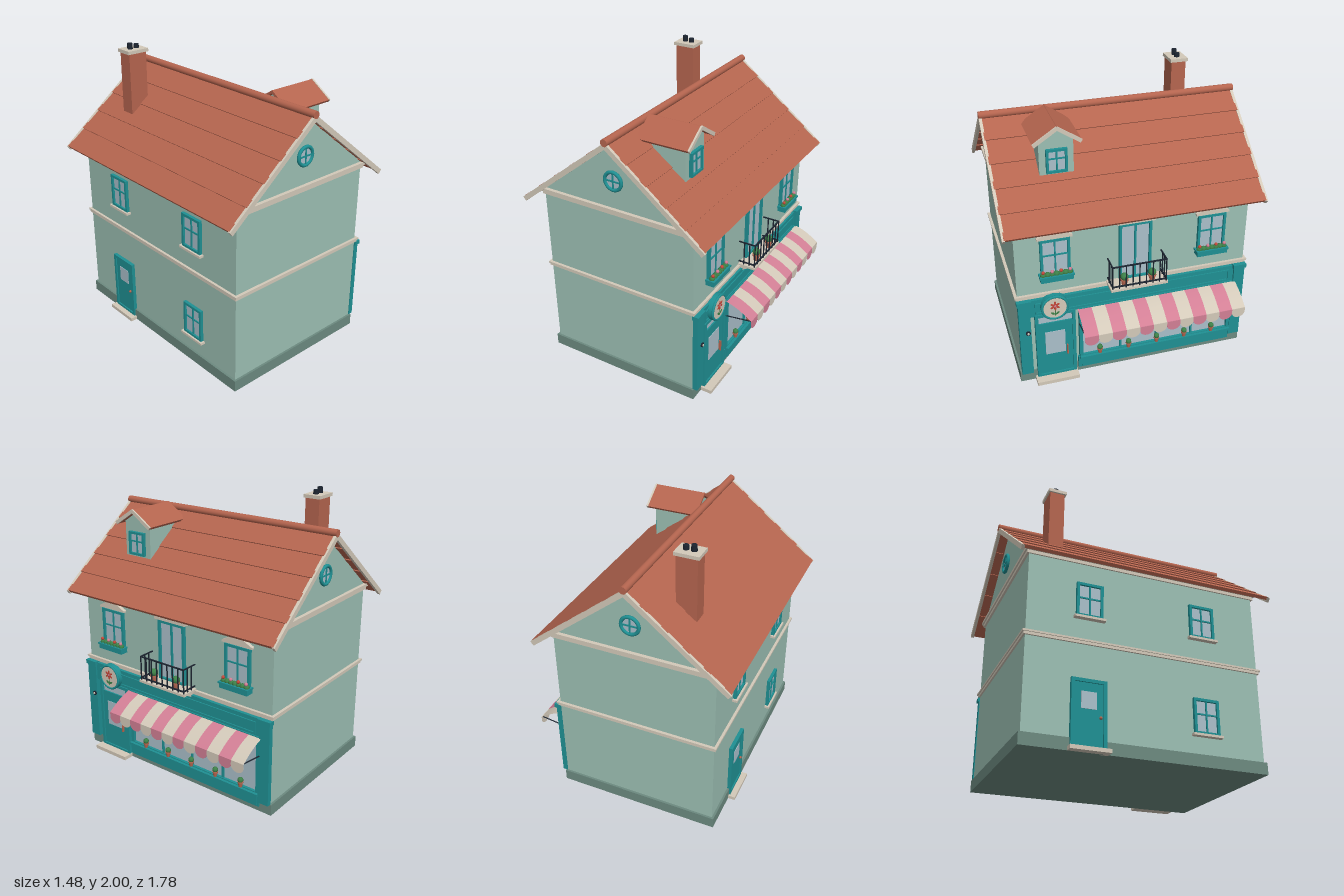
import * as THREE from 'three';

const mat = (name, color, side = THREE.FrontSide) => {
  const m = new THREE.MeshStandardMaterial({ color, side });
  m.name = name;
  return m;
};

export function createModel() {
  const M = {
    wall: mat('wall green', 0x9cbfb3), plinth: mat('plinth green', 0x6c8a80),
    teal: mat('teal paint', 0x1f9093), roof: mat('terracotta', 0xb5654f),
    cream: mat('cream stone', 0xd3c9b9, THREE.DoubleSide), glass: mat('pale glass', 0xaabfca),
    pink: mat('pink cloth', 0xd27f95, THREE.DoubleSide), green: mat('leaf green', 0x3d8048),
    dark: mat('dark iron', 0x1c2430), red: mat('flower red', 0xc4483a),
  };
  const house = new THREE.Group();
  house.name = 'shopHouse';

  const add = (parent, name, geo, m, x = 0, y = 0, z = 0) => {
    const mesh = new THREE.Mesh(geo, m);
    mesh.name = name;
    mesh.position.set(x, y, z);
    parent.add(mesh);
    return mesh;
  };
  const group = (parent, name, x = 0, y = 0, z = 0, ry = 0) => {
    const g = new THREE.Group();
    g.name = name;
    g.position.set(x, y, z);
    g.rotation.y = ry;
    parent.add(g);
    return g;
  };
  // Box given by its limits
  const box = (p, name, m, x0, x1, y0, y1, z0, z1) =>
    add(p, name, new THREE.BoxGeometry(x1 - x0, y1 - y0, z1 - z0), m, (x0 + x1) / 2, (y0 + y1) / 2, (z0 + z1) / 2);
  const poly = (pts) => new THREE.Shape(pts.map(([x, y]) => new THREE.Vector2(x, y)));
  const extrude = (shape, depth) => new THREE.ExtrudeGeometry(shape, { depth, bevelEnabled: false, curveSegments: 12 });
  const disc = (r, d) => new THREE.CylinderGeometry(r, r, d, 32).rotateX(Math.PI / 2);
  // Rectangular frame: four bars around an opening
  const frame = (p, name, m, x0, x1, y0, y1, t, z0, z1) => {
    box(p, name, m, x0, x0 + t, y0, y1, z0, z1);
    box(p, name, m, x1 - t, x1, y0, y1, z0, z1);
    box(p, name, m, x0 + t, x1 - t, y0, y0 + t, z0, z1);
    box(p, name, m, x0 + t, x1 - t, y1 - t, y1, z0, z1);
  };
  // Window with glazing bars, facing local +z
  const windowUnit = (p, name, x, y0, y1, w, t = 0.018) => {
    const g = group(p, name, x);
    const h = w / 2, yc = (y0 + y1) / 2 + 0.015;
    box(g, 'glass', M.glass, -h + t / 2, h - t / 2, y0 + t / 2, y1 - t / 2, -0.01, 0.008);
    frame(g, 'frame', M.teal, -h, h, y0, y1, t, 0, 0.022);
    box(g, 'glazingBar', M.teal, -0.005, 0.005, y0 + t, y1 - t, 0, 0.016);
    box(g, 'glazingBar', M.teal, -h + t, h - t, yc - 0.005, yc + 0.005, 0, 0.015);
    return g;
  };
  const pottedPlant = (p, x, y, z, s) => {
    const g = group(p, 'pottedPlant', x, y, z);
    g.scale.setScalar(s);
    add(g, 'pot', new THREE.CylinderGeometry(0.018, 0.013, 0.035, 16), M.roof, 0, 0.0175, 0);
    add(g, 'potRim', new THREE.CylinderGeometry(0.021, 0.021, 0.009, 16), M.roof, 0, 0.035, 0);
    add(g, 'bush', new THREE.SphereGeometry(0.021, 14, 10), M.green, 0, 0.053, 0);
  };

  // Main walls with gables
  const CX = -0.055, RY = 1.775, K = 0.8, HW = 0.565;
  const wallTop = RY - K * HW - 0.015;
  const body = poly([[CX - HW, 0.05], [CX + HW, 0.05], [CX + HW, wallTop], [CX, RY - 0.015], [CX - HW, wallTop]]);
  add(house, 'walls', extrude(body, 1.62), M.wall, 0, 0, -0.81);
  box(house, 'plinth', M.plinth, -0.635, 0.52, 0, 0.08, -0.825, 0.825);
  box(house, 'bandCourse', M.cream, -0.632, 0.522, 0.695, 0.715, -0.822, 0.822);
  box(house, 'bandCourseTop', M.cream, -0.638, 0.53, 0.713, 0.726, -0.83, 0.83);
  box(house, 'cornice', M.cream, -0.63, 0.52, 1.265, 1.287, -0.825, 0.825);
  box(house, 'corniceTop', M.cream, -0.642, 0.532, 1.287, 1.308, -0.835, 0.835);

  // Roof: overlapping courses, bargeboards, ridge
  const roof = group(house, 'roof');
  const ang = Math.atan(K), len = 0.675 / Math.cos(ang), step = len / 5;
  for (const s of [-1, 1]) {
    for (let i = 0; i < 5; i++) {
      const t = (i + 0.5) * step;
      const c = add(roof, 'roofCourse', new THREE.BoxGeometry(step * 1.04, 0.022, 1.76), M.roof,
        CX + s * t * Math.cos(ang), RY - t * Math.sin(ang), 0);
      c.rotation.z = -s * (ang - 0.04);
    }
    for (const e of [-1, 1]) {
      const b = add(roof, 'bargeboard', new THREE.BoxGeometry(len + 0.01, 0.034, 0.02), M.cream,
        CX + s * len / 2 * Math.cos(ang), RY - 0.006 - len / 2 * Math.sin(ang), e * 0.882);
      b.rotation.z = -s * ang;
    }
  }
  add(roof, 'ridge', new THREE.CylinderGeometry(0.025, 0.025, 1.785, 16).rotateX(Math.PI / 2), M.roof, CX, 1.79, 0);

  // Chimney
  const chimney = group(house, 'chimney', -0.34, 0, -0.57);
  box(chimney, 'stack', M.roof, -0.07, 0.07, 1.42, 1.94, -0.053, 0.053);
  box(chimney, 'cap', M.cream, -0.083, 0.083, 1.937, 1.96, -0.064, 0.064);
  for (const [x, top] of [[-0.025, 2], [0.027, 1.988]])
    add(chimney, 'chimneyPot', new THREE.CylinderGeometry(0.018, 0.02, top - 1.95, 16), M.dark, x, (top + 1.95) / 2, 0);

  // Dormer, facing +x
  const dormer = group(house, 'dormer', 0.32, 0, 0.468, Math.PI / 2);
  add(dormer, 'dormerWalls', extrude(poly([[-0.113, 1.485], [0.113, 1.485], [0.113, 1.735], [0, 1.81], [-0.113, 1.735]]), 0.3),
    M.wall, 0, 0, -0.3);
  windowUnit(dormer, 'dormerWindow', 0, 1.505, 1.67, 0.14, 0.016);
  const da = Math.atan(0.1 / 0.152), dl = 0.152 / Math.cos(da);
  for (const s of [-1, 1]) {
    for (const [name, m, th, z0, z1] of [['dormerRoof', M.roof, 0.018, -0.33, 0.044], ['dormerTrim', M.cream, 0.024, 0.04, 0.053]]) {
      const r = add(dormer, name, new THREE.BoxGeometry(dl + 0.008, th, z1 - z0), m, s * 0.076, 1.773, (z0 + z1) / 2);
      r.rotation.z = -s * da;
    }
  }

  // Round gable windows
  for (const e of [-1, 1]) {
    const g = group(house, 'roundWindow', CX, 1.505, e * 0.81, e > 0 ? 0 : Math.PI);
    add(g, 'glass', disc(0.06, 0.012), M.glass, 0, 0, 0.004);
    add(g, 'ring', new THREE.TorusGeometry(0.061, 0.012, 10, 36), M.teal, 0, 0, 0.01);
    box(g, 'glazingBar', M.teal, -0.005, 0.005, -0.058, 0.058, 0, 0.016);
    box(g, 'glazingBar', M.teal, -0.058, 0.058, -0.005, 0.005, 0, 0.016);
  }

  // Shop side, facing +x; local x runs towards -z
  const shop = group(house, 'shopFacade', 0.51, 0, 0, Math.PI / 2);

  // Upper windows with pediments and flower boxes
  for (const s of [-1, 1]) {
    const g = windowUnit(shop, 'upperWindow', s * 0.545, 0.86, 1.135, 0.2);
    add(g, 'pediment', extrude(poly([[-0.118, 1.14], [0.118, 1.14], [0.118, 1.152], [0, 1.212], [-0.118, 1.152]]), 0.025), M.cream);
    box(g, 'flowerBox', M.teal, -0.11, 0.11, 0.835, 0.868, 0, 0.06);
    box(g, 'flowerBoxRim', M.teal, -0.116, 0.116, 0.866, 0.878, 0, 0.066);
    for (let i = 0; i < 7; i++) {
      const x = -0.09 + i * 0.03;
      add(g, 'leaves', new THREE.SphereGeometry(0.02, 10, 8), M.green, x, 0.882, 0.036);
      if (i % 2 === 0)
        add(g, 'bloom', new THREE.SphereGeometry(0.012, 10, 8), i % 4 ? M.pink : M.red, x, 0.906, 0.042);
    }
  }

  // Balcony door and balcony
  box(shop, 'balconyDoorGlass', M.glass, -0.1, 0.1, 0.74, 1.15, 0, 0.008);
  frame(shop, 'balconyDoorFrame', M.teal, -0.113, 0.113, 0.73, 1.165, 0.018, 0, 0.024);
  box(shop, 'balconyDoorMiddle', M.teal, -0.007, 0.007, 0.74, 1.15, 0, 0.018);
  box(shop, 'balconyDoorLintel', M.cream, -0.132, 0.132, 1.17, 1.19, 0, 0.035);
  box(shop, 'balconySlab', M.cream, -0.2, 0.2, 0.718, 0.735, 0, 0.13);
  const balcony = group(shop, 'balconyRailing');
  const bar = (x, z) => box(balcony, 'baluster', M.dark, x - 0.0035, x + 0.0035, 0.735, 0.908, z - 0.0035, z + 0.0035);
  for (let i = 0; i <= 8; i++) bar(-0.188 + i * 0.047, 0.12);
  for (const y of [0.752, 0.908]) box(balcony, 'rail', M.dark, -0.192, 0.192, y - 0.004, y + 0.004, 0.115, 0.125);
  for (const s of [-1, 1]) {
    for (const z of [0.04, 0.08]) bar(s * 0.188, z);
    for (const y of [0.752, 0.908]) box(balcony, 'sideRail', M.dark, s * 0.188 - 0.004, s * 0.188 + 0.004, y - 0.004, y + 0.004, 0, 0.12);
    const brace = extrude(poly([[0, 0.66], [0.1, 0.718], [0, 0.718]]), 0.012).rotateY(-Math.PI / 2);
    add(shop, 'balconyBracket', brace, M.cream, s * 0.165 + 0.006, 0, 0);
    pottedPlant(shop, s * 0.098, 0.735, 0.09, 1.3);
  }

  // Pilasters and fascia
  for (const s of [-1, 1]) {
    box(shop, 'pilaster', M.teal, s * 0.775 - 0.04, s * 0.775 + 0.04, 0.08, 0.67, 0, 0.035);
    box(shop, 'pilasterCap', M.teal, s * 0.775 - 0.048, s * 0.775 + 0.048, 0.665, 0.695, 0, 0.045);
  }
  box(shop, 'fascia', M.teal, -0.735, 0.735, 0.55, 0.685, 0, 0.022);
  frame(shop, 'fasciaMoulding', M.teal, -0.7, 0.7, 0.572, 0.658, 0.01, 0.02, 0.03);

  // Shop window, four panes with pots on the sill
  box(shop, 'shopWindowGlass', M.glass, -0.38, 0.72, 0.14, 0.55, 0, 0.01);
  frame(shop, 'shopWindowFrame', M.teal, -0.4, 0.735, 0.125, 0.56, 0.024, 0, 0.03);
  for (const x of [-0.1, 0.168, 0.436]) box(shop, 'mullion', M.teal, x - 0.007, x + 0.007, 0.14, 0.55, 0, 0.022);
  box(shop, 'shopWindowBase', M.teal, -0.41, 0.735, 0.04, 0.13, 0, 0.025);
  box(shop, 'basePanel', M.teal, -0.385, 0.725, 0.052, 0.115, 0.02, 0.035);
  box(shop, 'shopSill', M.teal, -0.4, 0.735, 0.125, 0.143, 0, 0.05);
  for (let i = 0; i < 5; i++) pottedPlant(shop, -0.255 + i * 0.2115, 0.143, 0.03, 0.95);

  // Shop door
  frame(shop, 'doorFrame', M.teal, -0.705, -0.425, 0.02, 0.56, 0.022, 0, 0.03);
  box(shop, 'transomGlass', M.glass, -0.685, -0.445, 0.475, 0.545, 0, 0.01);
  box(shop, 'doorLeaf', M.teal, -0.685, -0.445, 0.03, 0.475, 0, 0.02);
  box(shop, 'doorGlass', M.glass, -0.64, -0.5, 0.21, 0.4, 0.018, 0.024);
  box(shop, 'doorHandle', M.roof, -0.491, -0.483, 0.19, 0.27, 0.02, 0.036);
  box(shop, 'doorStep', M.cream, -0.72, -0.42, 0, 0.027, 0, 0.09);
  add(shop, 'doorbellPlate', disc(0.016, 0.01), M.dark, -0.757, 0.435, 0.038);
  add(shop, 'doorbellButton', disc(0.008, 0.008), M.cream, -0.757, 0.435, 0.044);

  // Round sign with a painted flower
  const sign = group(shop, 'roundSign', -0.57, 0.625, 0);
  add(sign, 'signBoard', disc(0.094, 0.045), M.teal, 0, 0, 0.035);
  add(sign, 'signRim', new THREE.TorusGeometry(0.087, 0.009, 10, 40), M.teal, 0, 0, 0.057);
  add(sign, 'signFace', disc(0.08, 0.006), M.cream, 0, 0, 0.058);
  for (let i = 0; i < 6; i++) {
    const a = i * Math.PI / 3 + Math.PI / 2;
    const petal = add(sign, 'petal', disc(0.011, 0.004), M.red, Math.cos(a) * 0.02, 0.017 + Math.sin(a) * 0.02, 0.062);
    petal.rotation.z = a;
    petal.scale.set(1.4, 0.65, 1);
  }
  add(sign, 'flowerHeart', disc(0.008, 0.005), M.pink, 0, 0.017, 0.063);
  box(sign, 'stem', M.green, -0.003, 0.003, -0.06, -0.005, 0.06, 0.063);
  for (const s of [-1, 1]) {
    const leaf = add(sign, 'leaf', disc(0.015, 0.003), M.green, s * 0.016, -0.042, 0.062);
    leaf.rotation.z = s * 0.6;
    leaf.scale.y = 0.5;
  }

  // Striped awning with scalloped valance
  const awning = group(shop, 'awning');
  const A0 = -0.41, SW = 1.16 / 12;
  const scallop = new THREE.Shape();
  scallop.moveTo(-SW / 2, 0.458);
  scallop.lineTo(-SW / 2, 0.427);
  scallop.absellipse(0, 0.427, SW / 2, 0.042, Math.PI, 2 * Math.PI, false);
  scallop.lineTo(SW / 2, 0.458);
  for (let i = 0; i < 12; i++) {
    const m = i % 2 ? M.cream : M.pink, x = A0 + (i + 0.5) * SW;
    const sheet = new THREE.PlaneGeometry(SW, 1, 1, 6), p = sheet.attributes.position;
    for (let k = 0; k < p.count; k++) {
      const v = 0.5 - p.getY(k);
      p.setY(k, 0.555 - 0.098 * v + 0.014 * Math.sin(Math.PI * v));
      p.setZ(k, 0.025 + 0.195 * v);
    }
    sheet.computeVertexNormals();
    add(awning, 'awningStripe', sheet, m, x);
    add(awning, 'scallop', extrude(scallop, 0.004), m, x, 0, 0.218);
  }
  for (const x of [A0 + 0.012, A0 + 1.148]) {
    const arm = new THREE.LineCurve3(new THREE.Vector3(x, 0.425, 0.02), new THREE.Vector3(x, 0.452, 0.216));
    add(awning, 'awningArm', new THREE.TubeGeometry(arm, 1, 0.004, 8), M.dark);
  }

  // Rear side, facing -x; local x runs towards +z
  const rear = group(house, 'rearFacade', -0.62, 0, 0, -Math.PI / 2);
  for (const [x, y] of [[-0.4, 0.88], [0.4, 0.88], [0.4, 0.21]]) {
    const g = windowUnit(rear, 'rearWindow', x, y, y + 0.24, 0.18);
    box(g, 'sill', M.cream, -0.105, 0.105, y - 0.014, y + 0.002, 0, 0.035);
  }
  frame(rear, 'rearDoorFrame', M.teal, -0.515, -0.285, 0.02, 0.46, 0.022, 0, 0.025);
  box(rear, 'rearDoor', M.teal, -0.495, -0.305, 0.025, 0.44, 0, 0.016);
  box(rear, 'rearDoorGlass', M.glass, -0.45, -0.35, 0.27, 0.38, 0.014, 0.02);
  add(rear, 'rearDoorKnob', new THREE.SphereGeometry(0.01, 12, 8), M.roof, -0.325, 0.22, 0.024);
  box(rear, 'rearStep', M.cream, -0.53, -0.27, 0, 0.025, 0, 0.065);

  return house;
}
